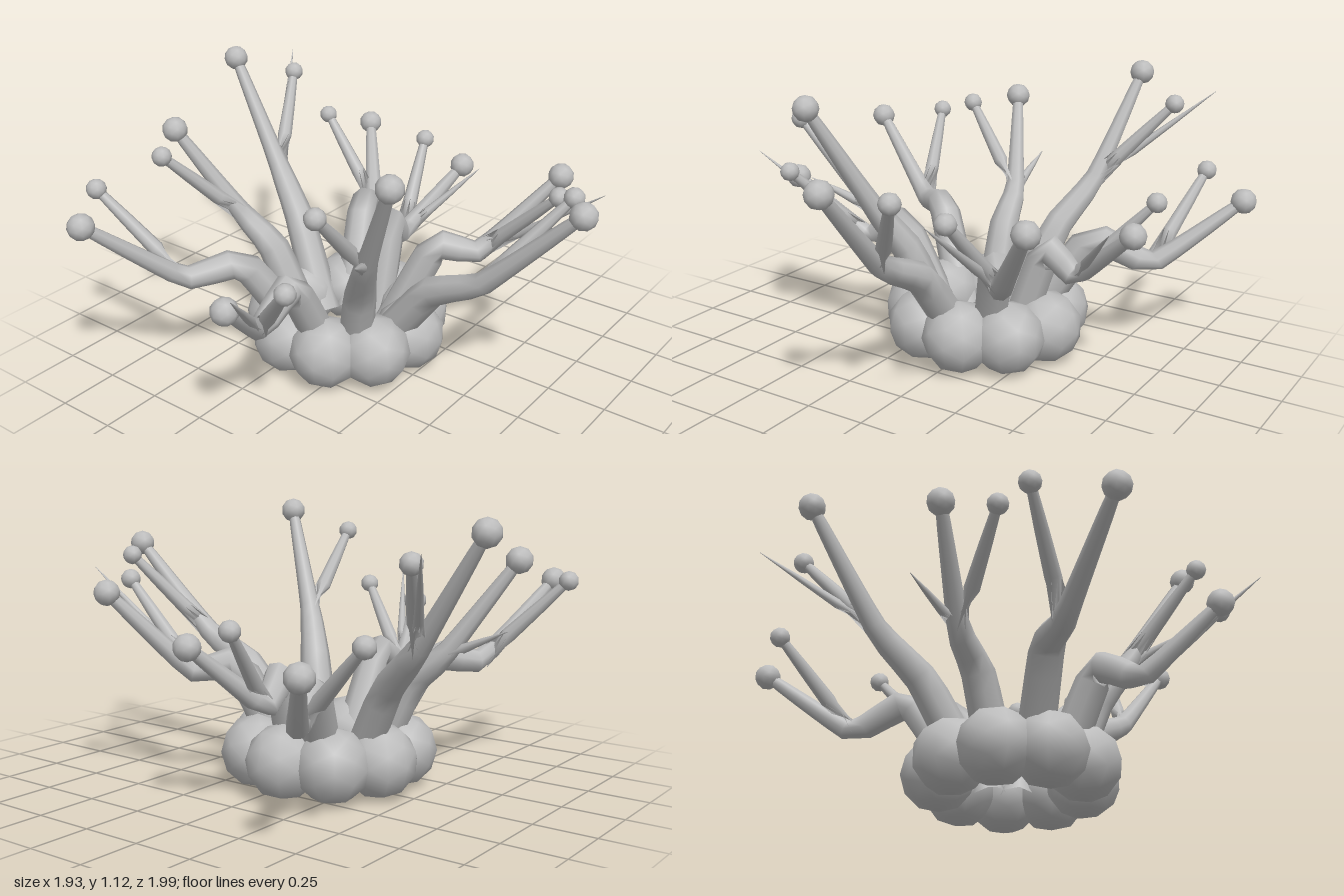
import * as THREE from 'three';

const skin = new THREE.MeshStandardMaterial({ color: 0xbcbcbc });
skin.name = 'plain grey';

// Tapered tube through points, with one radius per point
function limb(name, points, radii, segments) {
  const curve = new THREE.CatmullRomCurve3(points, false, 'catmullrom', 0.2);
  const sides = 8;
  const geo = new THREE.TubeGeometry(curve, segments, 1, sides, false);
  const pos = geo.attributes.position;
  const v = new THREE.Vector3();
  for (let i = 0; i <= segments; i++) {
    const u = i / segments;
    const centre = curve.getPointAt(u);
    const t = curve.getUtoTmapping(u) * (radii.length - 1);
    const k = Math.min(Math.floor(t), radii.length - 2);
    const r = THREE.MathUtils.lerp(radii[k], radii[k + 1], t - k);
    for (let j = 0; j <= sides; j++) {
      const n = i * (sides + 1) + j;
      v.fromBufferAttribute(pos, n).sub(centre).multiplyScalar(r).add(centre);
      pos.setXYZ(n, v.x, v.y, v.z);
    }
  }
  const mesh = new THREE.Mesh(geo, skin);
  mesh.name = name;
  return mesh;
}

// Low-poly, smooth-shaded ball
function ball(name, p, r) {
  const mesh = new THREE.Mesh(new THREE.IcosahedronGeometry(r, 1), skin);
  mesh.name = name;
  mesh.position.copy(p);
  return mesh;
}

// Point on a circle around the base's axis; angle runs from the front to +x
function around(degrees, radius, y) {
  const a = THREE.MathUtils.degToRad(degrees);
  return new THREE.Vector3(radius * Math.sin(a), y, -0.1 + radius * Math.cos(a));
}

// Heights shared by arms of the same kind
const low = { elbow: 0.485, fork: 0.39, big: 0.642, small: 0.72 };
const medium = { elbow: 0.49, fork: 0.465, big: 0.782, small: 0.808 };
const high = { elbow: 0.43, fork: 0.55, big: 0.925, small: 0.89 };
const tallest = { elbow: 0.45, fork: 0.63, big: 1.065, small: 0.972 };

// Arms in order around the base: x, z of fork and tips; x, y, z of the thorn
const arms = [
  { kind: high, fork: [-0.025, 0.57], big: [0.01, 0.94], small: [0.2, 0.81] },
  { kind: medium, fork: [0.345, 0.335], big: [0.578, 0.566], small: [0.335, 0.683], thorn: [0.37, 0.85, 0.857] },
  { kind: low, fork: [0.425, -0.105], big: [0.718, 0.01], small: [0.72, -0.193], thorn: [0.675, 0.67, 0.127] },
  { kind: low, fork: [0.62, -0.41], big: [0.91, -0.64], small: [0.708, -0.743] },
  { kind: tallest, fork: [0.23, -0.645], big: [0.302, -0.947], small: [0.525, -0.797], thorn: [0.66, 1.02, -0.915] },
  { kind: high, fork: [-0.115, -0.55], big: [-0.246, -0.795], small: [-0.427, -0.69], thorn: [-0.125, 0.67, -0.815] },
  { kind: medium, fork: [-0.55, -0.48], big: [-0.905, -0.633], small: [-0.676, -0.805] },
  { kind: low, fork: [-0.58, -0.065], big: [-0.868, 0.043], small: [-0.757, 0.225], thorn: [-0.97, 0.77, 0.175] },
  { kind: tallest, fork: [-0.305, 0.23], big: [-0.46, 0.447], small: [-0.64, 0.268], thorn: [-0.53, 0.76, 0.35] },
];

// A thick stem forking into two ball-tipped branches and sometimes a thorn
function makeArm(spec, index) {
  const arm = new THREE.Group();
  arm.name = 'arm';
  const at = (part) => new THREE.Vector3(spec[part][0], spec.kind[part], spec[part][1]);
  const root = around(40 * index, 0.18, 0.1);
  const fork = at('fork');
  const big = at('big');
  const small = at('small');
  const elbow = root.clone().lerp(fork, 0.52).setY(spec.kind.elbow);
  arm.add(limb('stem', [root, elbow, fork, big], [0.075, 0.065, 0.046, 0.021], 14));
  arm.add(limb('sideBranch', [fork, small], [0.042, 0.018], 3));
  arm.add(ball('largeTip', big, 0.053));
  arm.add(ball('smallTip', small, 0.041));
  if (spec.thorn) {
    arm.add(limb('thorn', [fork, new THREE.Vector3(...spec.thorn)], [0.034, 0.001], 3));
  }
  return arm;
}

export function createModel() {
  const model = new THREE.Group();
  model.name = 'branchingPolyp';

  // Base: a ring of nine overlapping lobes
  const base = new THREE.Group();
  base.name = 'lobedBase';
  for (let i = 0; i < 9; i++) {
    const lobe = ball('baseLobe', around(9 + 40 * i, 0.288, 0.15), 0.15);
    lobe.position.x += 0.015;
    lobe.rotation.y = THREE.MathUtils.degToRad(9 + 40 * i);
    base.add(lobe);
  }
  model.add(base);

  arms.forEach((spec, i) => model.add(makeArm(spec, i)));
  return model;
}
